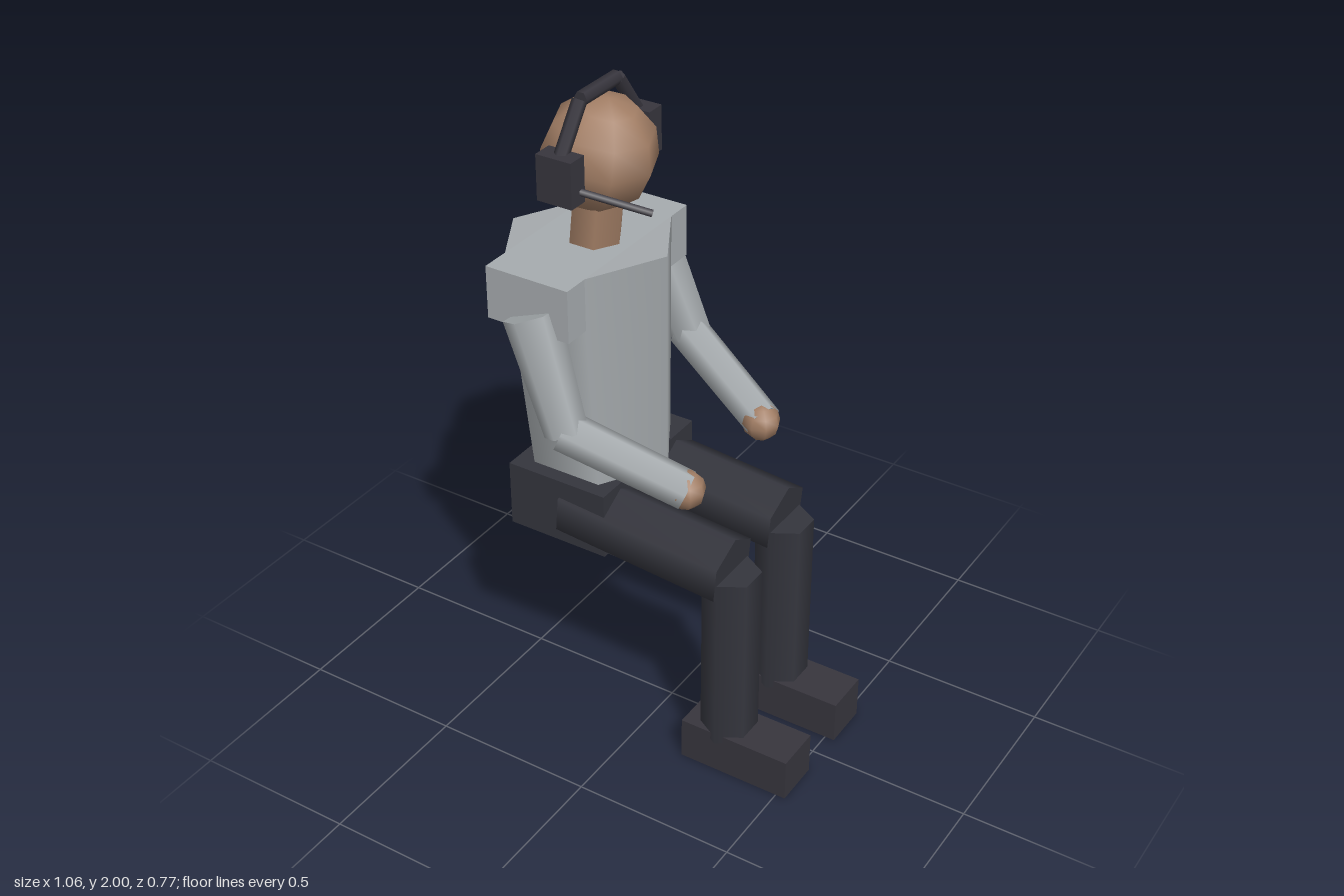
import * as THREE from 'three';

const mat = (name, color) => {
  const m = new THREE.MeshStandardMaterial({ color });
  m.name = name;
  return m;
};

export function createModel() {
  const shirt = mat('shirt grey', 0xa6abae);
  const trousers = mat('trouser charcoal', 0x34353d);
  const dark = mat('shoe and headset charcoal', 0x37353d);
  const skin = mat('skin', 0xa27e65);
  const model = new THREE.Group();
  model.name = 'seatedFigure';
  const V = (p) => new THREE.Vector3(...p);

  function add(name, geometry, material, pos) {
    const mesh = new THREE.Mesh(geometry, material);
    mesh.name = name;
    mesh.position.set(...pos);
    model.add(mesh);
    return mesh;
  }

  // Box given by its lower and upper corners
  function box(name, lo, hi, material) {
    const size = lo.map((v, i) => hi[i] - v);
    return add(name, new THREE.BoxGeometry(...size), material, lo.map((v, i) => (v + hi[i]) / 2));
  }

  // Six-sided tapered cylinder from a to b; turn rotates its corners about the axis
  function limb(name, a, b, ra, rb, material, turn = 0) {
    const dir = V(b).sub(V(a));
    const geometry = new THREE.CylinderGeometry(rb, ra, dir.length(), 6).rotateY(turn);
    const mesh = add(name, geometry, material, V(a).add(V(b)).multiplyScalar(0.5).toArray());
    mesh.quaternion.setFromUnitVectors(new THREE.Vector3(0, 1, 0), dir.normalize());
    return mesh;
  }
  const T = Math.PI / 6;

  // Trunk
  limb('torso', [-0.237, 0.815, 0], [-0.274, 1.523, 0], 0.22, 0.259, shirt, T);
  box('shoulders', [-0.408, 1.37, -0.298], [-0.14, 1.53, 0.298], shirt);
  box('hips', [-0.408, 0.645, -0.237], [-0.08, 0.853, 0.237], trousers);

  // Head, leaning slightly forward on the neck
  limb('neck', [-0.254, 1.51, 0], [-0.238, 1.66, 0], 0.079, 0.079, skin, T);
  const head = add('head', new THREE.SphereGeometry(0.165, 8, 6), skin, [-0.23, 1.796, 0]);
  head.rotation.z = -0.2;

  // Arms and legs, mirrored
  for (const [side, s] of [['left', 1], ['right', -1]]) {
    limb(side + 'UpperArm', [-0.267, 1.42, s * 0.292], [-0.14, 1.1, s * 0.322], 0.079, 0.062, shirt, T);
    limb(side + 'Forearm', [-0.15, 1.105, s * 0.322], [0.18, 0.958, s * 0.207], 0.062, 0.058, shirt);
    add(side + 'Hand', new THREE.SphereGeometry(0.057, 8, 6), skin, [0.175, 0.958, s * 0.205]);
    limb(side + 'Thigh', [-0.24, 0.738, s * 0.15], [0.295, 0.694, s * 0.15], 0.108, 0.108, trousers, T);
    limb(side + 'Shin', [0.295, 0.11, s * 0.15], [0.295, 0.69, s * 0.15], 0.085, 0.085, trousers);
    box(side + 'Shoe', [0.175, 0, s * 0.15 - 0.073], [0.53, 0.135, s * 0.15 + 0.073], dark);
    // Headset cup and sloping band piece
    box(side + 'EarCup', [-0.285, 1.727, s * 0.188 - 0.031], [-0.173, 1.862, s * 0.188 + 0.031], dark);
    limb(side + 'Band', [-0.23, 1.845, s * 0.186], [-0.23, 1.978, s * 0.09], 0.021, 0.021, dark);
  }
  limb('topBand', [-0.23, 1.98, -0.085], [-0.23, 1.98, 0.085], 0.021, 0.021, dark, T);
  limb('microphoneBoom', [-0.2, 1.77, 0.188], [-0.018, 1.697, 0.07], 0.011, 0.011, dark);

  return model;
}
